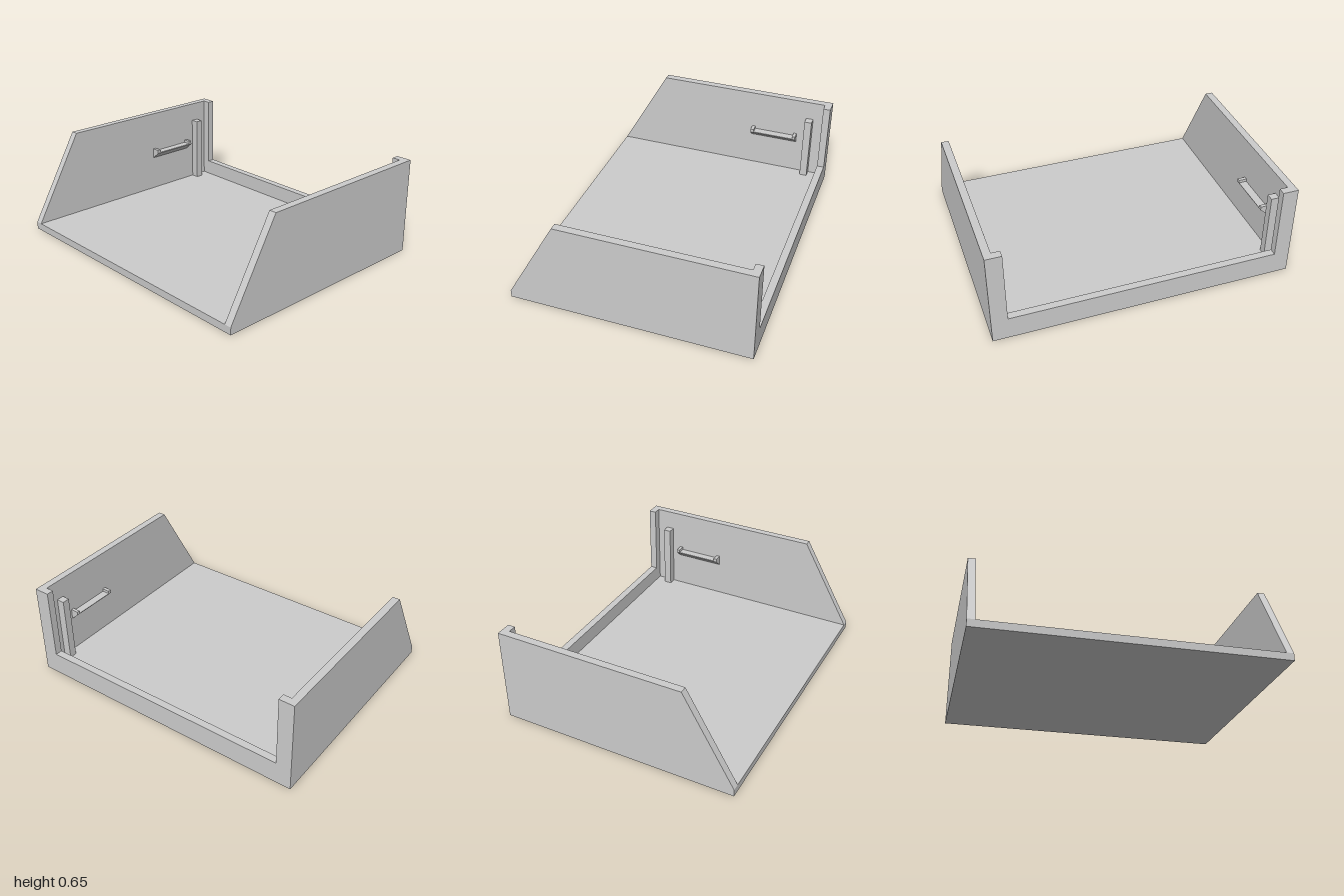
import * as THREE from 'three';

export function createModel() {
  const group = new THREE.Group();
  const grey = new THREE.MeshStandardMaterial({ color: 0xcccccc });
  grey.name = 'light grey';

  const add = (name, geometry) => {
    const mesh = new THREE.Mesh(geometry, grey);
    mesh.name = name;
    group.add(mesh);
  };

  // Box from its minimum and maximum on each axis
  const box = (name, x0, x1, y0, y1, z0, z1) => {
    const g = new THREE.BoxGeometry(Math.abs(x1 - x0), y1 - y0, z1 - z0);
    add(name, g.translate((x0 + x1) / 2, (y0 + y1) / 2, (z0 + z1) / 2));
  };

  const extrude = (points, depth) => new THREE.ExtrudeGeometry(
    new THREE.Shape(points.map(([x, y]) => new THREE.Vector2(x, y))),
    { depth, bevelEnabled: false });

  // Floor and the low lip along the back
  box('floor', -1, 1, 0, 0.05, -0.81, 0.81);
  box('backLip', -0.95, 0.95, 0.05, 0.155, -0.81, -0.76);

  for (const [side, s] of [['left', 1], ['right', -1]]) {
    // Side wall with a sloping front edge, drawn in z and y
    const wall = extrude([[-0.81, 0.05], [0.81, 0.05], [0.465, 0.65], [-0.81, 0.65]], 0.05);
    add(side + 'Wall', wall.rotateY(-Math.PI / 2).translate(s > 0 ? 1 : -0.95, 0, 0));

    // Full-height back return and the shorter guide post in front of it
    box(side + 'BackReturn', s * 0.895, s * 0.95, 0.155, 0.65, -0.81, -0.76);
    box(side + 'GuidePost', s * 0.895, s * 0.95, 0.05, 0.515, -0.685, -0.633);

    // Wedge-shaped rail with a raised stop at each end
    const rail = (name, top, z0, z1) => add(side + name, extrude(
      [[s * 0.95, 0.297], [s * 0.95, top], [s * 0.895, top], [s * 0.895, 0.345]], z1 - z0)
      .translate(0, 0, z0));
    rail('Rail', 0.35, -0.55, -0.254);
    rail('RailBackStop', 0.37, -0.572, -0.55);
    rail('RailFrontStop', 0.37, -0.254, -0.23);
  }
  return group;
}
